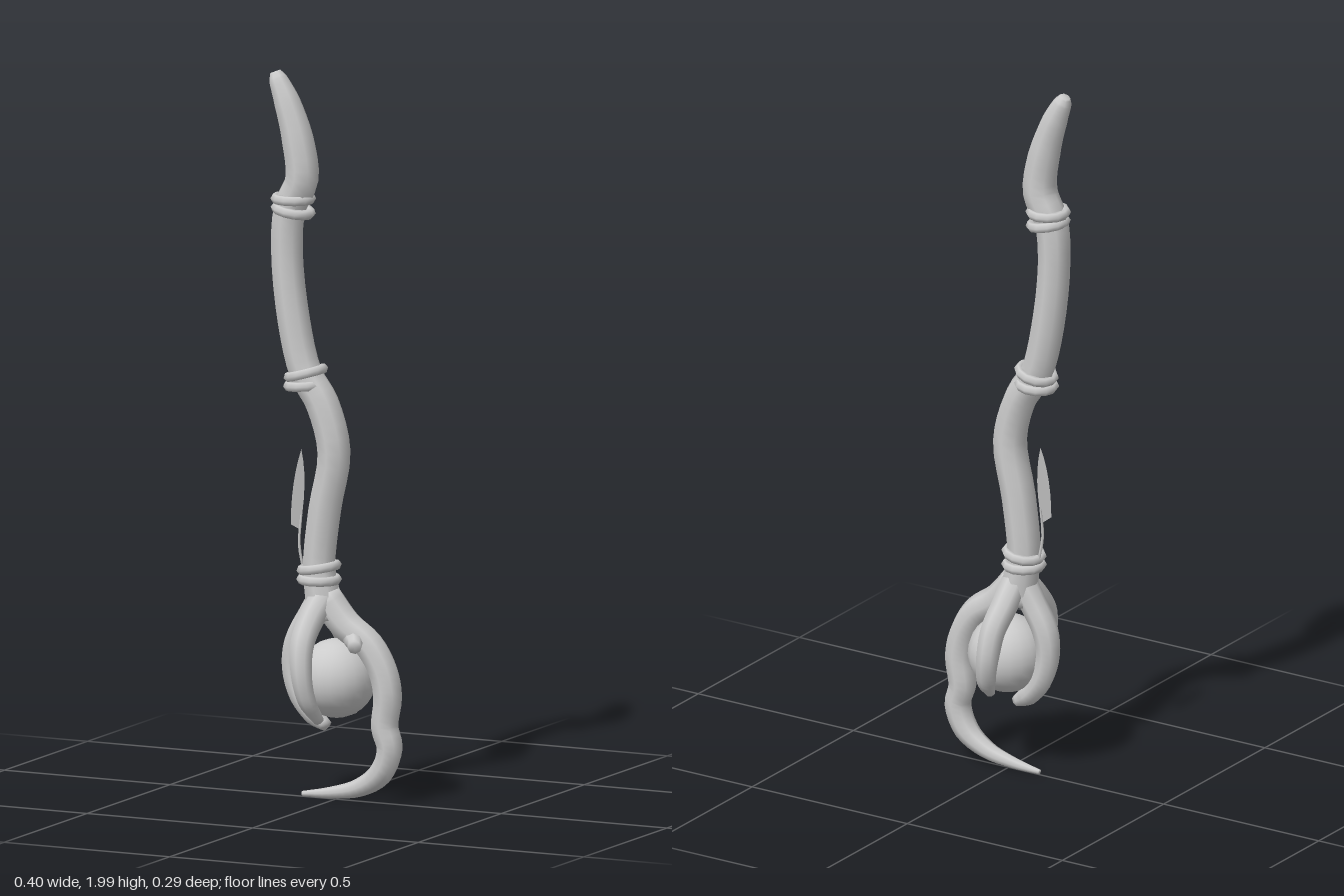
import * as THREE from 'three';

const material = new THREE.MeshStandardMaterial({ color: 0xcccccc });
const thinMaterial = new THREE.MeshStandardMaterial({ color: 0xcccccc, side: THREE.DoubleSide });

// Tapered limb: each row is [x, y, z, radius]; both ends close to a point
function limbGeometry(rows, steps, sides = 8) {
  const curve = new THREE.CatmullRomCurve3(rows.map(r => new THREE.Vector3(r[0], r[1], r[2])), false, 'centripetal');
  const frames = { t: new THREE.Vector3(), n: new THREE.Vector3(), b: new THREE.Vector3() };
  const side = rows.some(r => Math.abs(r[2]) > 0.05) ? new THREE.Vector3(1, 0, 0) : new THREE.Vector3(0, 0, 1);
  const positions = [], index = [], p = new THREE.Vector3();
  for (let i = -1; i <= steps + 1; i++) {
    const t = THREE.MathUtils.clamp(i / steps, 0, 1);
    const k = Math.min(Math.floor(t * (rows.length - 1)), rows.length - 2);
    const radius = i < 0 || i > steps ? 0.0001
      : THREE.MathUtils.lerp(rows[k][3], rows[k + 1][3], t * (rows.length - 1) - k);
    curve.getPoint(t, p);
    curve.getTangent(t, frames.t);
    frames.n.crossVectors(side, frames.t).normalize();
    frames.b.crossVectors(frames.t, frames.n);
    for (let j = 0; j < sides; j++) {
      const a = (j / sides) * Math.PI * 2;
      const v = p.clone().addScaledVector(frames.n, Math.cos(a) * radius).addScaledVector(frames.b, Math.sin(a) * radius);
      positions.push(v.x, v.y, v.z);
    }
  }
  for (let i = 0; i < steps + 2; i++) {
    for (let j = 0; j < sides; j++) {
      const a = i * sides + j, b = i * sides + (j + 1) % sides;
      index.push(a, b, a + sides, b, b + sides, a + sides);
    }
  }
  const geometry = new THREE.BufferGeometry();
  geometry.setAttribute('position', new THREE.Float32BufferAttribute(positions, 3));
  geometry.setIndex(index);
  geometry.computeVertexNormals();
  return geometry;
}

export function createModel() {
  const model = new THREE.Group();
  model.name = 'clawStaff';
  const add = (name, geometry, mat = material, parent = model) => {
    const mesh = new THREE.Mesh(geometry, mat);
    mesh.name = name;
    parent.add(mesh);
    return mesh;
  };

  // Crooked wooden shaft
  add('shaft', limbGeometry([
    [-0.03, 0.5, 0, 0.052], [-0.04, 0.57, 0, 0.05], [-0.05, 0.64, 0, 0.046], [-0.033, 0.8, 0, 0.047],
    [-0.005, 0.96, 0, 0.047], [-0.04, 1.09, 0, 0.047], [-0.09, 1.17, 0, 0.046], [-0.126, 1.31, 0, 0.046],
    [-0.147, 1.5, 0, 0.045], [-0.138, 1.62, 0, 0.046], [-0.102, 1.7, 0, 0.048], [-0.115, 1.81, 0, 0.045],
    [-0.147, 1.91, 0, 0.037], [-0.174, 1.97, 0, 0.026], [-0.182, 1.99, 0, 0.015],
  ], 56));

  // Cord bindings, each a pair of tilted loops
  const bindings = [[-0.05, 0.625, 0.08], [-0.09, 1.155, 0.18], [-0.128, 1.63, -0.1]];
  for (const [x, y, tilt] of bindings) {
    const binding = new THREE.Group();
    binding.name = 'binding';
    binding.position.set(x, y, 0);
    model.add(binding);
    for (const s of [-1, 1]) {
      const loop = add('bindingLoop', new THREE.TorusGeometry(0.048, 0.014, 6, 12).rotateX(Math.PI / 2), material, binding);
      loop.position.y = s * 0.016;
      loop.rotation.z = tilt + s * 0.09;
    }
  }

  // Orb held in the claws
  add('orb', new THREE.SphereGeometry(0.108, 20, 14)).position.set(0.003, 0.342, 0);

  // Long hooked claw
  add('hookClaw', limbGeometry([
    [-0.03, 0.56, 0, 0.046], [0.03, 0.49, 0, 0.045], [0.1, 0.44, 0, 0.042], [0.143, 0.37, 0, 0.041],
    [0.157, 0.3, 0, 0.041], [0.148, 0.22, 0, 0.039], [0.163, 0.16, 0, 0.037], [0.135, 0.09, 0, 0.034],
    [0.07, 0.046, 0, 0.025], [-0.015, 0.026, 0, 0.016], [-0.1, 0.017, 0, 0.007],
  ], 40));

  // Broken twig on the hooked claw
  add('twigStub', limbGeometry([[0.06, 0.455, 0.02, 0.026], [0.08, 0.45, 0.045, 0.022], [0.092, 0.443, 0.07, 0.019]], 4));

  // Shorter claws wrapped round the orb
  const claws = {
    leftOuterClaw: [
      [-0.03, 0.57, 0, 0.044], [-0.08, 0.5, 0, 0.037], [-0.118, 0.43, 0, 0.036], [-0.127, 0.36, 0, 0.033],
      [-0.105, 0.285, 0, 0.032], [-0.062, 0.232, 0, 0.029], [-0.025, 0.207, 0, 0.016],
    ],
    frontClaw: [
      [-0.03, 0.57, 0, 0.04], [-0.048, 0.5, 0.06, 0.036], [-0.052, 0.44, 0.1, 0.034], [-0.045, 0.36, 0.115, 0.03],
      [-0.035, 0.29, 0.1, 0.026], [-0.02, 0.23, 0.06, 0.014],
    ],
    backClaw: [
      [-0.03, 0.57, 0, 0.04], [-0.025, 0.5, -0.06, 0.037], [-0.015, 0.44, -0.1, 0.035], [-0.008, 0.36, -0.116, 0.032],
      [0.005, 0.29, -0.1, 0.027], [0.02, 0.242, -0.06, 0.014],
    ],
  };
  for (const [name, rows] of Object.entries(claws)) add(name, limbGeometry(rows, 24));

  // Thin feather tied to the lowest binding
  const feather = new THREE.Group();
  feather.name = 'feather';
  feather.position.set(-0.11, 0.65, 0);
  feather.rotation.y = Math.PI / 4;
  model.add(feather);
  const outline = new THREE.Shape();
  outline.moveTo(0.002, 0.09);
  outline.lineTo(-0.024, 0.105);
  outline.quadraticCurveTo(-0.024, 0.22, 0.006, 0.31);
  outline.quadraticCurveTo(0.026, 0.22, 0.002, 0.09);
  add('featherVane', new THREE.ShapeGeometry(outline, 6), thinMaterial, feather);
  add('featherStem', limbGeometry([[0.012, -0.02, 0, 0.004], [0, 0.05, 0, 0.004], [0.006, 0.13, 0, 0.003]], 6, 5), material, feather);

  return model;
}
